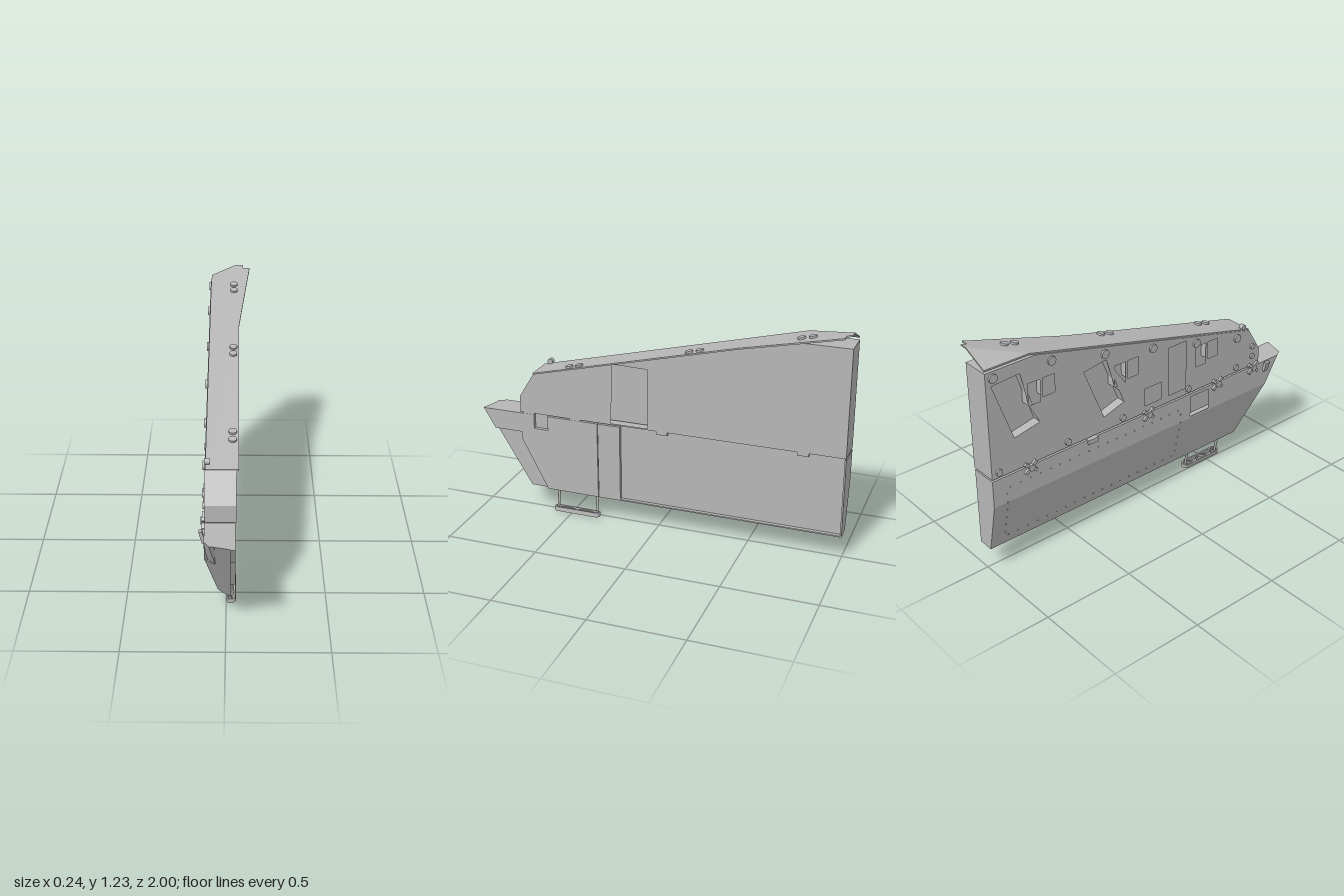
import * as THREE from 'three';
import { ConvexGeometry } from 'three/addons/geometries/ConvexGeometry.js';

const grey = new THREE.MeshStandardMaterial({ color: 0xb6b6b6 });
grey.name = 'plain grey';

export function createModel() {
  const model = new THREE.Group();
  const add = (name, geo, parent = model) => {
    const mesh = new THREE.Mesh(geo, grey);
    mesh.name = name;
    parent.add(mesh);
    return mesh;
  };
  // Side-on plate: outline and holes are [z, y] points, thick from x0 to x1
  const toPoints = (pts) => pts.map(([z, y]) => new THREE.Vector2(-z, y));
  const plate = (name, pts, x0, x1, holes = []) => {
    const shape = new THREE.Shape(toPoints(pts));
    shape.holes = holes.map((h) => new THREE.Path(toPoints(h)));
    const geo = new THREE.ExtrudeGeometry(shape, { depth: x1 - x0, bevelEnabled: false });
    return add(name, geo.rotateY(Math.PI / 2).translate(x0, 0, 0));
  };
  const rect = (z0, z1, y0, y1) => [[z0, y0], [z1, y0], [z1, y1], [z0, y1]];
  const box = (name, w, h, d, x, y, z, parent) => {
    const mesh = add(name, new THREE.BoxGeometry(w, h, d), parent);
    mesh.position.set(x, y, z);
    return mesh;
  };
  const disc = (name, r, depth, x, y, z, sides = 16, parent = model) => {
    const mesh = add(name, new THREE.CylinderGeometry(r, r, depth, sides), parent);
    mesh.rotation.z = Math.PI / 2;
    mesh.position.set(x, y, z);
    return mesh;
  };
  const roofY = (z) => 0.807 + (0.69 - z) * 0.2485;

  // Upper panel: pierced outer skin, solid core, inner skin with a door recess
  const upper = [[0.775, 0.58], [0.775, 0.67], [0.69, 0.807], [-0.72, 1.155], [-1, 1.155], [-1, 0.58]];
  const windows = [
    [[-0.97, 1.08], [-0.81, 1.09], [-0.71, 0.79], [-0.86, 0.76]],
    [[-0.44, 0.96], [-0.3, 0.98], [-0.19, 0.7], [-0.32, 0.66]],
    rect(0.11, 0.23, 0.62, 0.9),
    rect(-0.05, 0.06, 0.62, 0.72),
  ];
  for (const [z, y] of [[-0.74, 0.96], [-0.22, 0.865], [0.33, 0.78]]) {
    windows.push(rect(z - 0.03, z + 0.04, y - 0.06, y + 0.06));
    windows.push(rect(z + 0.055, z + 0.125, y - 0.04, y + 0.06));
  }
  plate('upperOuterSkin', upper, -0.1, -0.05, windows);
  plate('upperCore', upper, -0.05, -0.01);
  plate('upperInnerSkin', upper, -0.01, 0.05, [[[0.25, 0.588], [0.24, 0.92], [0.045, 0.915], [0.045, 0.588]]]);

  // Sloping roof plate with a flared rear edge and a folded rear corner
  const roof = (name, pts, drop) => {
    const shape = new THREE.Shape(pts.map(([x, z]) => new THREE.Vector2(x, -z)));
    const geo = new THREE.ExtrudeGeometry(shape, { depth: 0.008, bevelEnabled: false }).rotateX(-Math.PI / 2);
    const p = geo.attributes.position;
    for (let i = 0; i < p.count; i++) {
      const z = p.getZ(i);
      const folded = p.getX(i) < -0.08 && z < -0.99;
      p.setY(i, p.getY(i) + roofY(z) - (folded ? drop : 0));
    }
    geo.computeVertexNormals();
    add(name, geo);
  };
  roof('roofPlate', [[-0.097, 0.69], [0.06, 0.69], [0.06, -0.43], [0.118, -0.97], [0.08, -0.97], [0.08, -1], [0.04, -1], [-0.097, -0.75]], 0);
  roof('roofCorner', [[-0.097, -0.75], [0.04, -1], [-0.097, -1]], 0.062);

  // Paired roof caps and the lifting knob
  for (const z of [-0.77, -0.2, 0.46]) {
    for (const dz of [-0.028, 0.028]) {
      const cap = add('roofCap', new THREE.CylinderGeometry(0.02, 0.02, 0.012, 16));
      cap.rotation.x = Math.atan(0.2485);
      cap.position.set(0.03, roofY(z + dz) + 0.012, z + dz);
    }
  }
  disc('liftingKnob', 0.015, 0.025, -0.09, 0.837, 0.65);

  // Lower panel: raked and chamfered front, outer face tapering inward below
  const section = (y, outer, inner) => {
    const t = (y - 0.14) / 0.43;
    const front = 0.74 + 0.26 * t;
    const chamfer = Math.max(-0.075 * t, outer + 0.01);
    return [[outer, -1], [outer, front - 0.07], [chamfer, front - 0.025], [inner, front - 0.004], [inner, -1]]
      .map(([x, z]) => new THREE.Vector3(x, y, z));
  };
  add('lowerSkirt', new ConvexGeometry([...section(0.14, -0.04, 0.025), ...section(0.42, -0.1, 0.025)]));
  add('lowerBand', new ConvexGeometry([...section(0.42, -0.06, 0.025), ...section(0.57, -0.06, 0.025)]));
  plate('lowerOuterSkin', [[0.84, 0.42], [0.93, 0.57], [-1, 0.57], [-1, 0.42]], -0.1, -0.06, [rect(0.27, 0.4, 0.43, 0.55)]);
  add('bandCorner', new ConvexGeometry([
    [-0.1, 0.42, 0.82], [-0.1, 0.57, 0.93], [-0.075, 0.57, 0.972], [-0.05, 0.42, 0.88],
    [-0.05, 0.57, 0.972], [-0.05, 0.42, 0.8], [-0.05, 0.57, 0.9],
  ].map((v) => new THREE.Vector3(...v))));

  // Raised front part of the inner face, with its step and notch
  plate('innerFrontSkin', [
    [1, 0.57], [0.933, 0.46], [0.775, 0.46], [0.775, 0.42], [0.63, 0.14], [0.333, 0.14], [0.333, 0.57],
    [0.62, 0.57], [0.62, 0.49], [0.7, 0.49], [0.7, 0.57],
  ], 0.024, 0.045);
  plate('innerMiddleSkin', rect(0.205, 0.329, 0.14, 0.57), 0.024, 0.045);
  plate('innerBottomLip', rect(-1, 0.205, 0.14, 0.147), 0.024, 0.045);
  plate('innerRearLip', rect(-1, -0.992, 0.147, 0.57), 0.024, 0.045);

  // Hinge brackets joining the two panels
  for (const z of [-0.78, -0.03, 0.46, 0.73]) {
    const hinge = new THREE.Group();
    hinge.name = 'hingeBracket';
    hinge.position.set(-0.106, 0.565, z);
    model.add(hinge);
    disc('hingePin', 0.018, 0.026, 0, 0, 0, 12, hinge);
    for (const angle of [0.7, -0.7]) {
      box('hingeArm', 0.014, 0.018, 0.085, 0, 0, 0, hinge).rotation.x = angle;
    }
    box('hingeLeaf', 0.14, 0.022, 0.06, 0.08, 0.005, 0, hinge);
  }
  box('gapStop', 0.02, 0.025, 0.06, -0.105, 0.56, -0.4);
  const hook = box('frontHook', 0.016, 0.06, 0.03, -0.11, 0.54, 0.83);
  hook.rotation.z = 0.25;

  // Round bolt heads around the outer face
  for (const z of [-0.96, -0.63, -0.31, 0, 0.3, 0.6]) {
    disc('topBolt', 0.023, 0.012, -0.104, Math.min(roofY(z) - 0.04, 1.12), z);
  }
  for (const z of [-0.96, -0.55, -0.2, 0.25, 0.6]) disc('bottomBolt', 0.018, 0.012, -0.104, 0.61, z);
  for (const y of [0.64, 0.7]) disc('frontBolt', 0.016, 0.012, -0.104, y, 0.72);

  // Rivet rows on the lower outer face
  const skirtX = (y) => (y > 0.42 ? -0.1 : -0.1 + (0.42 - y) / 0.28 * 0.06);
  for (let z = -0.9; z < 0.2; z += 0.06) {
    for (const y of [0.19, 0.5]) disc('rivet', 0.004, 0.005, skirtX(y) - 0.001, y, z, 6);
  }
  for (let y = 0.22; y < 0.5; y += 0.05) {
    for (const z of [-0.92, 0.2]) disc('rivet', 0.004, 0.005, skirtX(y) - 0.001, y, z, 6);
  }

  // Hanging foot step: two rods and a ring braced by a zigzag
  const step = new THREE.Group();
  step.name = 'footStep';
  step.position.set(0.024, 0.022, 0.468);
  step.rotation.z = 0.15;
  model.add(step);
  const oval = (r, Type) => {
    const s = new Type();
    s.absarc(0.11, 0, r, -Math.PI / 2, Math.PI / 2);
    s.absarc(-0.11, 0, r, Math.PI / 2, Math.PI * 1.5);
    s.closePath();
    return s;
  };
  const ring = oval(0.023, THREE.Shape);
  ring.holes.push(oval(0.015, THREE.Path));
  const ringGeo = new THREE.ExtrudeGeometry(ring, { depth: 0.024, bevelEnabled: false, curveSegments: 8 });
  add('stepRing', ringGeo.rotateX(-Math.PI / 2).rotateY(Math.PI / 2).translate(0, -0.012, 0), step);
  for (let i = 0; i < 4; i++) {
    const brace = box('stepBrace', 0.006, 0.018, 0.062, 0, 0, -0.0825 + i * 0.055, step);
    brace.rotation.y = i % 2 ? 0.5 : -0.5;
  }
  for (const z of [0.582, 0.354]) {
    const rod = add('stepRod', new THREE.CylinderGeometry(0.007, 0.007, 0.15, 10));
    rod.position.set(0.01, 0.09, z);
    rod.rotation.z = 0.18;
  }
  return model;
}
